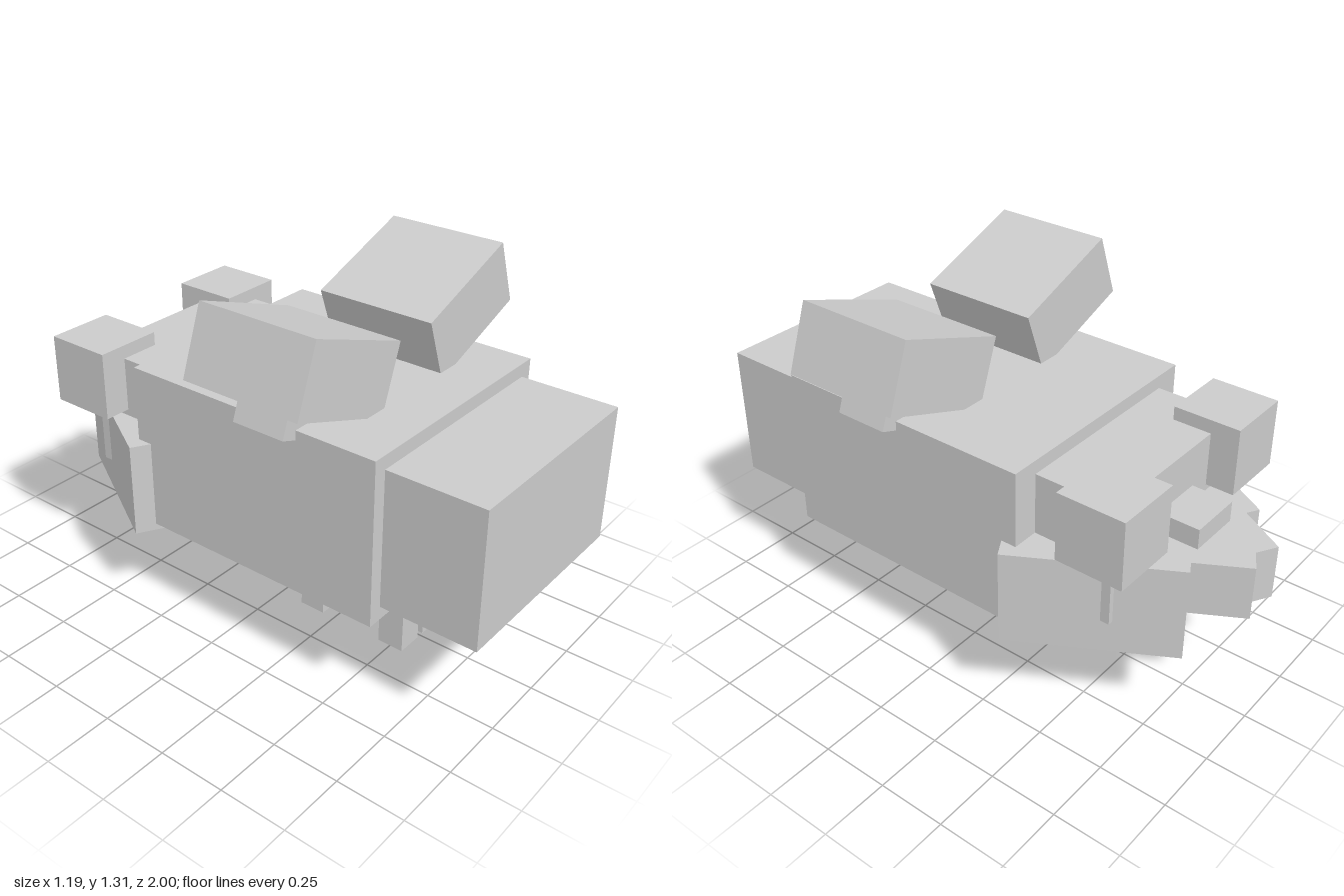
import * as THREE from 'three';

const material = new THREE.MeshStandardMaterial({ color: 0xcccccc, flatShading: true });

// Box given by its size and centre
function box(name, [w, h, d], [x, y, z]) {
  const mesh = new THREE.Mesh(new THREE.BoxGeometry(w, h, d), material);
  mesh.name = name;
  mesh.position.set(x, y, z);
  return mesh;
}

export function createModel() {
  const model = new THREE.Group();
  model.name = 'blockBug';

  // Central line: tail, body, head, snout
  model.add(
    box('abdomen', [0.8, 0.5, 0.355], [0, 0.655, 0.8225]),
    box('body', [0.9, 0.6, 1], [0, 0.655, 0.145]),
    box('head', [0.7, 0.45, 0.3], [0, 0.68, -0.505]),
    box('snout', [0.2, 0.25, 0.15], [0, 0.63, -0.735]),
  );

  // Paired parts
  for (const s of [1, -1]) {
    const side = s > 0 ? 'left' : 'right';

    model.add(box(side + 'Eye', [0.25, 0.25, 0.25], [s * 0.325, 0.83, -0.635]));

    for (const [end, z] of [['Front', 0.5], ['Rear', 0.15]]) {
      model.add(box(side + end + 'Leg', [0.1, 0.355, 0.1], [s * 0.065, 0.1775, z]));
    }

    // Jaw angled inwards, with a smaller tip at its end
    const jaw = new THREE.Group();
    jaw.name = side + 'Jaw';
    jaw.position.set(s * 0.235, 0.505, -0.52);
    jaw.rotation.y = s * Math.PI / 6;
    jaw.add(
      box('jawBase', [0.3, 0.35, 0.6], [0, 0, 0]),
      box('jawTip', [0.2, 0.2, 0.2], [0, 0.075, -0.4]),
    );
    model.add(jaw);

    // Wing block tilted outwards on a small mount
    const wing = new THREE.Group();
    wing.name = side + 'Wing';
    wing.position.set(s * 0.34, 1.12, 0.245);
    wing.rotation.z = s * Math.PI / 9;
    wing.add(
      box('wingBlock', [0.45, 0.25, 0.45], [0, 0, 0]),
      box('wingMount', [0.2, 0.2, 0.2], [0, -0.125, 0]),
    );
    model.add(wing);
  }

  return model;
}
